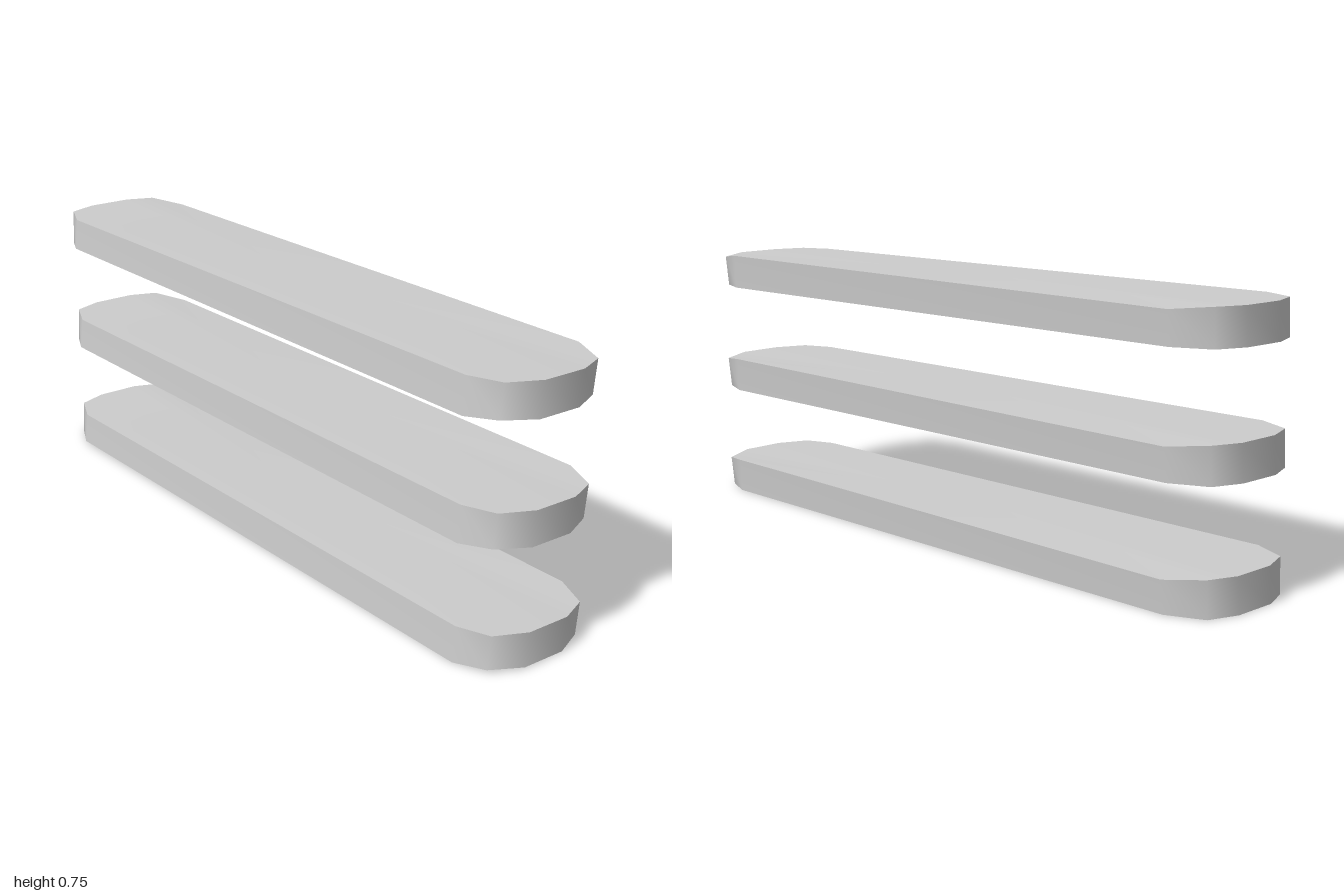
import * as THREE from 'three';

// Upper rim of a plank, relative to its centre, clockwise from the back corner
const RIM = [
  [-0.87, 0.04, -0.2], [0.87, 0.05, -0.19], [0.96, 0.04, -0.16], [1, 0.046, -0.07],
  [1, 0.048, 0.06], [0.96, 0.05, 0.15], [0.87, 0.05, 0.185], [-0.87, 0.05, 0.19],
  [-0.97, 0.05, 0.145], [-1, 0.05, 0.06], [-1, 0.05, -0.07], [-0.97, 0.05, -0.15],
];

function plankGeometry() {
  const n = RIM.length;
  // The lower rim is the upper one turned half way round the x axis
  const lower = RIM.map((_, i) => {
    const [x, y, z] = RIM[(19 - i) % n];
    return [x, -y, -z];
  });
  // Side rims, then separate cap rims with centres so the edges stay sharp
  const points = [...RIM, ...lower, ...RIM, [0, 0.05, 0], ...lower, [0, -0.05, 0]];
  const topCap = 2 * n, topCentre = 3 * n, lowCap = topCentre + 1, lowCentre = lowCap + n;
  const index = [];
  for (let i = 0; i < n; i++) {
    const j = (i + 1) % n;
    index.push(i, j, n + i, j, n + j, n + i);
    index.push(topCentre, topCap + j, topCap + i);
    index.push(lowCentre, lowCap + i, lowCap + j);
  }
  const geometry = new THREE.BufferGeometry();
  geometry.setAttribute('position', new THREE.Float32BufferAttribute(points.flat(), 3));
  geometry.setIndex(index);
  geometry.computeVertexNormals();
  return geometry;
}

export function createModel() {
  const group = new THREE.Group();
  group.name = 'stackedPlanks';
  const grey = new THREE.MeshStandardMaterial({ color: 0xcccccc });
  grey.name = 'light grey';
  const geometry = plankGeometry();

  // Three identical planks, evenly spaced
  ['lowerPlank', 'middlePlank', 'upperPlank'].forEach((name, i) => {
    const plank = new THREE.Mesh(geometry, grey);
    plank.name = name;
    plank.position.y = 0.053 + i * 0.326;
    group.add(plank);
  });
  return group;
}
